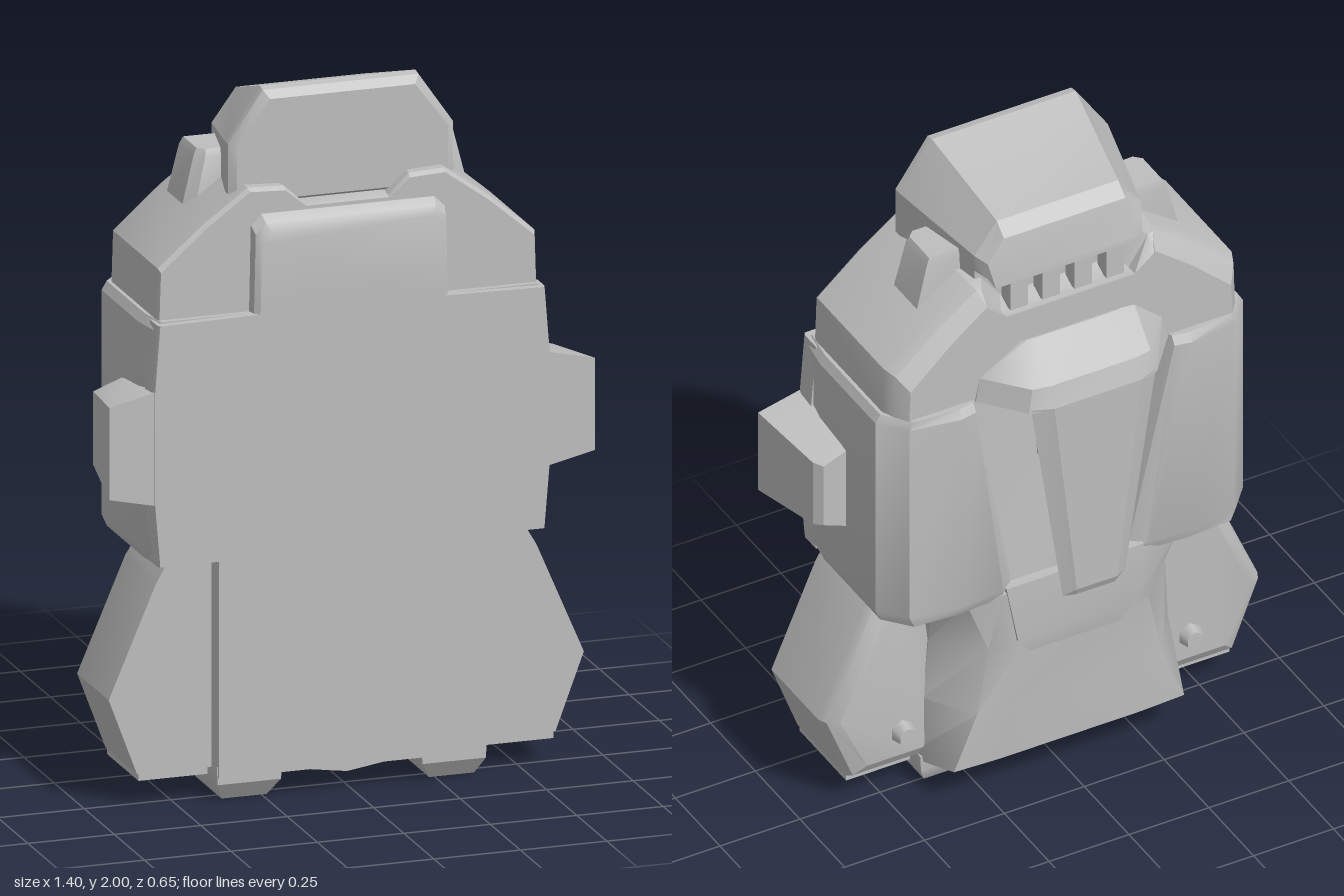
import * as THREE from 'three';
import { toCreasedNormals } from 'three/addons/utils/BufferGeometryUtils.js';

const shell = new THREE.MeshStandardMaterial({ color: 0xbebebe });
shell.name = 'shell grey';

// Mirror a half outline (listed on +x) into a closed symmetric outline
const sym = (half) => [
  ...half,
  ...half.filter((p) => p[0] !== 0).reverse().map(([x, v]) => [-x, v]),
];

// Skin a list of [position, outline] sections along an axis and cap the ends.
// axis 'y': outlines are [x, z];  axis 'z': outlines are [x, y].
function loft(axis, sections, crease = 0.5) {
  const uv = ([a, b]) => (axis === 'y' ? new THREE.Vector2(b, a) : new THREE.Vector2(a, b));
  const xyz = (p, w) => (axis === 'y' ? [p.y, w, p.x] : [p.x, p.y, w]);
  const rings = sections.map(([w, pts]) => {
    const ring = pts.map(uv);
    if (THREE.ShapeUtils.area(ring) < 0) ring.reverse();
    return { w, ring };
  });
  const out = [];
  const tri = (...corners) => corners.forEach(([r, i]) => out.push(...xyz(r.ring[i], r.w)));
  for (let k = 0; k < rings.length - 1; k++) {
    const a = rings[k], b = rings[k + 1], n = a.ring.length;
    for (let i = 0; i < n; i++) {
      const j = (i + 1) % n;
      tri([a, i], [a, j], [b, j]);
      tri([a, i], [b, j], [b, i]);
    }
  }
  const cap = (r, forward) => {
    for (const [i, j, k] of THREE.ShapeUtils.triangulateShape(r.ring, [])) {
      const ccw = THREE.ShapeUtils.area([r.ring[i], r.ring[j], r.ring[k]]) > 0;
      if (ccw === forward) tri([r, i], [r, j], [r, k]);
      else tri([r, i], [r, k], [r, j]);
    }
  };
  cap(rings[0], false);
  cap(rings[rings.length - 1], true);
  const g = new THREE.BufferGeometry();
  g.setAttribute('position', new THREE.Float32BufferAttribute(out, 3));
  return toCreasedNormals(g, crease);
}

export function createModel() {
  const model = new THREE.Group();
  model.name = 'armouredBackpack';
  const add = (name, geometry, x = 0, y = 0, z = 0) => {
    const m = new THREE.Mesh(geometry, shell);
    m.name = name;
    m.position.set(x, y, z);
    model.add(m);
    return m;
  };

  // Main block, with a tapering groove down the back
  const block = (y, inset, n, g) => [y, sym([
    [0.56 - inset, 0.3], [0.575 - inset, 0.2], [0.575 - inset, -0.11], [0.51 - inset, -0.185],
    [0.36, -0.21 + inset], [n, -0.2 + inset], [n - 0.04, g],
  ])];
  add('mainBlock', loft('y', [
    block(0.685, 0.015, 0.22, -0.17), block(0.72, 0, 0.225, -0.17),
    block(1.36, 0, 0.31, -0.1), block(1.385, 0.015, 0.31, -0.1),
  ]));

  // Flat cross-shaped front plate
  const plate = (z, top, neck, e) => [z, sym([
    [0.39 - e, 0.07], [0.39 - e, 0.69], [0.56 - e, 0.69], [0.575 - e, 0.87],
    [0.575 - e, 1.19], [0.56 - e, 1.38], [neck, 1.385], [neck - 0.005, top - 0.03], [neck - 0.035, top],
  ])];
  add('frontPlate', loft('z', [
    plate(0.25, 1.665, 0.285, 0), plate(0.285, 1.66, 0.285, 0),
    plate(0.31, 1.64, 0.28, 0), plate(0.322, 1.615, 0.265, 0.005),
  ]));

  // Shoulders with sloping sides and a dip that seats the head
  const shoulder = (z, s, drop, dipX, dipY) => [z, sym([
    [0.55 * s, 1.37], [0.545 * s, 1.53 - drop], [0.41 * s, 1.645 - drop],
    [0.285 * s, 1.735 - drop], [dipX + 0.06, 1.73 - drop], [dipX, dipY],
  ])];
  add('shoulders', loft('z', [
    shoulder(-0.175, 0.92, 0.05, 0.2, 1.63), shoulder(-0.14, 0.97, 0.01, 0.2, 1.63),
    shoulder(-0.1, 1, 0, 0.18, 1.65), shoulder(0.27, 1, 0, 0.12, 1.675), shoulder(0.283, 0.99, 0.01, 0.12, 1.67),
  ]));

  // Head, with an overhang at the back over the vent
  const head = (z, w, topW, base, corner, top) => [z, sym([[w, base], [w, corner], [topW, top]])];
  add('head', loft('z', [
    head(-0.165, 0.23, 0.2, 1.73, 1.735, 1.75), head(-0.14, 0.24, 0.19, 1.75, 1.8, 1.87),
    head(-0.1, 0.26, 0.19, 1.76, 1.81, 1.905), head(-0.099, 0.26, 0.19, 1.62, 1.81, 1.905),
    head(0.2, 0.325, 0.225, 1.67, 1.85, 2), head(0.225, 0.325, 0.225, 1.675, 1.85, 1.995),
    head(0.242, 0.305, 0.21, 1.685, 1.845, 1.972),
  ]));

  // Rear vent slats
  for (let i = 0; i < 4; i++) {
    add('ventSlat', new THREE.BoxGeometry(0.055, 0.16, 0.05), -0.15 + i * 0.1, 1.69, -0.13);
  }

  // Hood on the back
  add('rearHood', loft('y', [
    [1.38, sym([[0.3, -0.12], [0.3, -0.18], [0.2, -0.3], [0.14, -0.322]])],
    [1.45, sym([[0.285, -0.12], [0.285, -0.175], [0.185, -0.29], [0.13, -0.3]])],
    [1.53, sym([[0.21, -0.12], [0.2, -0.168], [0.14, -0.178], [0.1, -0.18]])],
  ]));

  // Tapering flap hanging from the hood
  add('rearFlap', loft('y', [
    [0.72, sym([[0.09, -0.297], [0.095, -0.301], [0.06, -0.312]])],
    [0.745, sym([[0.095, -0.296], [0.1, -0.301], [0.064, -0.323]])],
    [1.39, sym([[0.185, -0.292], [0.195, -0.301], [0.135, -0.325]])],
  ], 0.2));

  // Rib in the groove and the tapered tip that continues the groove floor
  add('grooveRib', new THREE.BoxGeometry(0.16, 0.3, 0.1), 0, 1.24, -0.12);
  add('rearPanel', loft('y', [
    [0.48, sym([[0.14, -0.1], [0.14, -0.195]])],
    [0.53, sym([[0.18, -0.1], [0.18, -0.203]])],
    [0.72, sym([[0.215, -0.1], [0.215, -0.2]])],
  ]));

  // Lower body, pinched at the waist and flaring at the bottom
  add('lowerBody', loft('y', [
    [0.07, sym([[0.385, 0.3], [0.385, 0], [0.34, -0.03], [0.2, -0.035]])],
    [0.125, sym([[0.39, 0.3], [0.39, -0.02], [0.36, -0.165], [0.22, -0.172]])],
    [0.3, sym([[0.39, 0.3], [0.385, -0.03], [0.29, -0.17], [0.2, -0.182]])],
    [0.5, sym([[0.39, 0.3], [0.37, -0.04], [0.25, -0.16], [0.17, -0.195]])],
    [0.7, sym([[0.39, 0.3], [0.39, -0.1], [0.33, -0.18], [0.22, -0.195]])],
  ], 0.6));
  add('bellyKeel', loft('z', [
    [0, sym([[0, 0.045], [0.2, 0.07], [0.2, 0.1]])],
    [0.28, sym([[0, 0.04], [0.2, 0.07], [0.2, 0.1]])],
  ]));

  // Nozzle rim: rectangle with a rectangular hole
  const rim = new THREE.Shape([[-0.1, -0.13], [0.1, -0.13], [0.1, 0.13], [-0.1, 0.13]].map((p) => new THREE.Vector2(...p)));
  rim.holes.push(new THREE.Path([[-0.075, -0.105], [-0.075, 0.105], [0.075, 0.105], [0.075, -0.105]].map((p) => new THREE.Vector2(...p))));
  const rimGeometry = new THREE.ExtrudeGeometry(rim, { depth: 0.03, bevelEnabled: false }).rotateX(-Math.PI / 2);

  for (const s of [1, -1]) {
    const side = s > 0 ? 'left' : 'right';
    const flip = (pts) => pts.map(([x, v]) => [x * s, v]);

    // Side arm
    const arm = (z, x, lo, hi) => [z, flip([[0.5, lo], [0.57, lo], [x, lo + 0.03], [x, hi - 0.03], [0.57, hi], [0.5, hi]])];
    add(side + 'Arm', loft('z', [
      arm(0.055, 0.645, 0.9, 1.16), arm(0.08, 0.665, 0.895, 1.165), arm(0.32, 0.702, 0.868, 1.192),
    ]));

    // Ear
    add(side + 'Ear', loft('y', [
      [1.62, flip([[0.25, 0.11], [0.385, 0.11], [0.415, 0.085], [0.415, -0.045], [0.25, -0.045]])],
      [1.78, flip([[0.25, 0.105], [0.35, 0.105], [0.375, 0.08], [0.375, -0.04], [0.25, -0.04]])],
      [1.8, flip([[0.25, 0.095], [0.345, 0.095], [0.365, 0.075], [0.365, -0.035], [0.25, -0.035]])],
    ]));

    // Thruster pod with rounded-off rear edges
    const pod = (z, e) => [z, flip([
      [0.36, 0.09 + e], [0.605 - e, 0.09 + e], [0.687 - e, 0.31], [0.55 - e, 0.63], [0.515 - e, 0.69 - e], [0.36, 0.69 - e],
    ])];
    add(side + 'Pod', loft('z', [pod(-0.035, 0.045), pod(-0.015, 0.012), pod(0.01, 0), pod(0.272, 0)]));
    add(side + 'NozzleRim', rimGeometry, s * 0.5, 0.07, 0.14);
    add(side + 'Knob', new THREE.CylinderGeometry(0.028, 0.04, 0.05, 6).rotateX(-Math.PI / 2), s * 0.45, 0.215, -0.045);

    // Foot
    add(side + 'Foot', loft('y', [
      [0, flip([[0.235, 0.285], [0.365, 0.285], [0.365, -0.005], [0.235, -0.005]])],
      [0.05, flip([[0.205, 0.318], [0.388, 0.318], [0.388, -0.03], [0.205, -0.03]])],
      [0.1, flip([[0.2, 0.318], [0.39, 0.318], [0.39, -0.03], [0.2, -0.03]])],
    ]));
  }
  return model;
}
